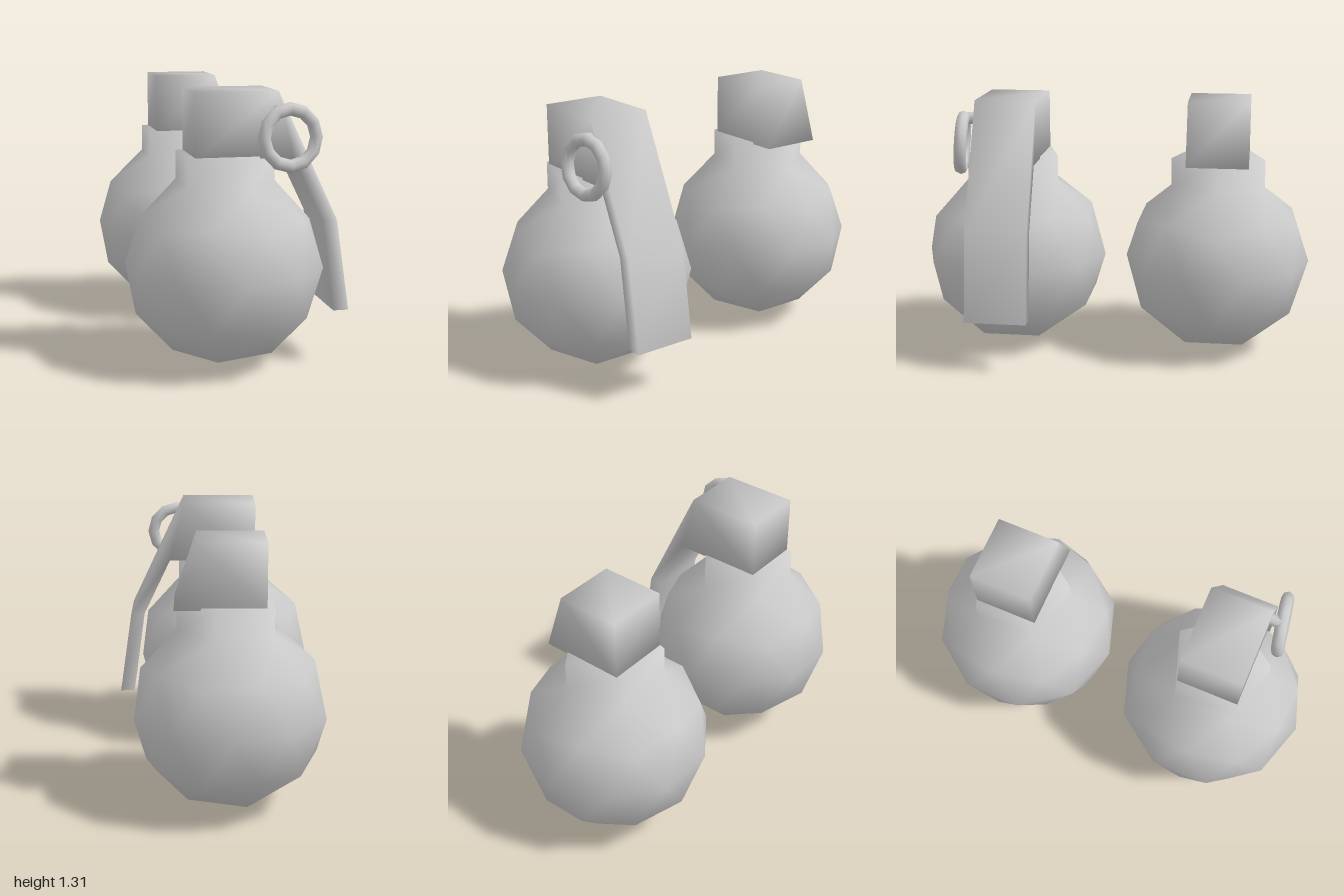
import * as THREE from 'three';
import { mergeVertices, mergeGeometries } from 'three/addons/utils/BufferGeometryUtils.js';

const R = 0.472, CX = -0.065, CZ = 0.528;
const material = new THREE.MeshStandardMaterial({ color: 0xcccccc });

function mesh(name, geometry) {
  const m = new THREE.Mesh(geometry, material);
  m.name = name;
  return m;
}

// Share vertices so that shading runs smoothly over every edge
function smooth(geometry) {
  geometry.deleteAttribute('normal');
  geometry.deleteAttribute('uv');
  const g = mergeVertices(geometry, 1e-3);
  g.computeVertexNormals();
  return g;
}

// Low-poly ball with its top cap opened and drawn up into a five-sided neck
function bodyGeometry() {
  const ball = new THREE.IcosahedronGeometry(R, 1);
  ball.rotateZ(-Math.atan(2 / (1 + Math.sqrt(5))));
  const p = ball.attributes.position;
  const kept = [];
  for (let i = 0; i < p.count; i += 3) {
    const corners = [i, i + 1, i + 2];
    if (corners.some((c) => p.getY(c) > 0.98 * R)) continue;
    for (const c of corners) kept.push(p.getX(c), p.getY(c), p.getZ(c));
  }
  const shell = new THREE.BufferGeometry();
  shell.setAttribute('position', new THREE.Float32BufferAttribute(kept, 3));

  const low = 0.85065 * R, high = 1.01 - R;
  const neck = new THREE.CylinderGeometry(0.52573 * R, 0.52573 * R, high - low, 5, 1, true, Math.PI / 2);
  neck.translate(0, (low + high) / 2, 0);
  const top = new THREE.CircleGeometry(0.52573 * R, 5);
  top.rotateX(-Math.PI / 2);
  top.translate(0, high, 0);
  const parts = [shell, neck.toNonIndexed(), top.toNonIndexed()];
  for (const g of parts) {
    g.deleteAttribute('normal');
    g.deleteAttribute('uv');
  }
  return smooth(mergeGeometries(parts));
}

// Side profile given depth across z
function prism(points, depth) {
  const shape = new THREE.Shape(points.map(([x, y]) => new THREE.Vector2(x, y)));
  const g = new THREE.ExtrudeGeometry(shape, { depth, bevelEnabled: false });
  g.translate(0, 0, -depth / 2);
  return smooth(g);
}

function grenade(name, z, headName, profile) {
  const group = new THREE.Group();
  group.name = name;
  group.position.z = z;
  const body = mesh('body', bodyGeometry());
  body.position.set(CX, R, 0);
  group.add(body, mesh(headName, prism(profile, 0.308)));
  return group;
}

export function createModel() {
  const model = new THREE.Group();
  model.name = 'grenadePair';

  // Front grenade: head and bent safety lever in one piece
  const front = grenade('frontGrenade', CZ, 'headWithLever', [
    [-0.23, 1.0], [0.23, 1.0], [0.374, 0.7], [0.436, 0.262],
    [0.51, 0.262], [0.445, 0.7], [0.157, 1.307], [-0.23, 1.307],
  ]);

  // Pull ring, slightly tilted, on a short pin
  const ring = mesh('pullRing', new THREE.TorusGeometry(0.13, 0.031, 8, 12));
  ring.position.set(0.198, 1.1, 0.212);
  ring.rotation.set(-0.08, 0.16, 0);
  const pin = mesh('pin', new THREE.CylinderGeometry(0.03, 0.03, 0.1, 8));
  pin.rotation.x = Math.PI / 2;
  pin.position.set(0.155, 1.217, 0.165);
  front.add(ring, pin);

  // Back grenade: plain head without lever
  const back = grenade('backGrenade', -CZ, 'head', [
    [-0.23, 1.0], [0.195, 1.0], [0.09, 1.307], [-0.23, 1.307],
  ]);

  model.add(front, back);
  return model;
}
